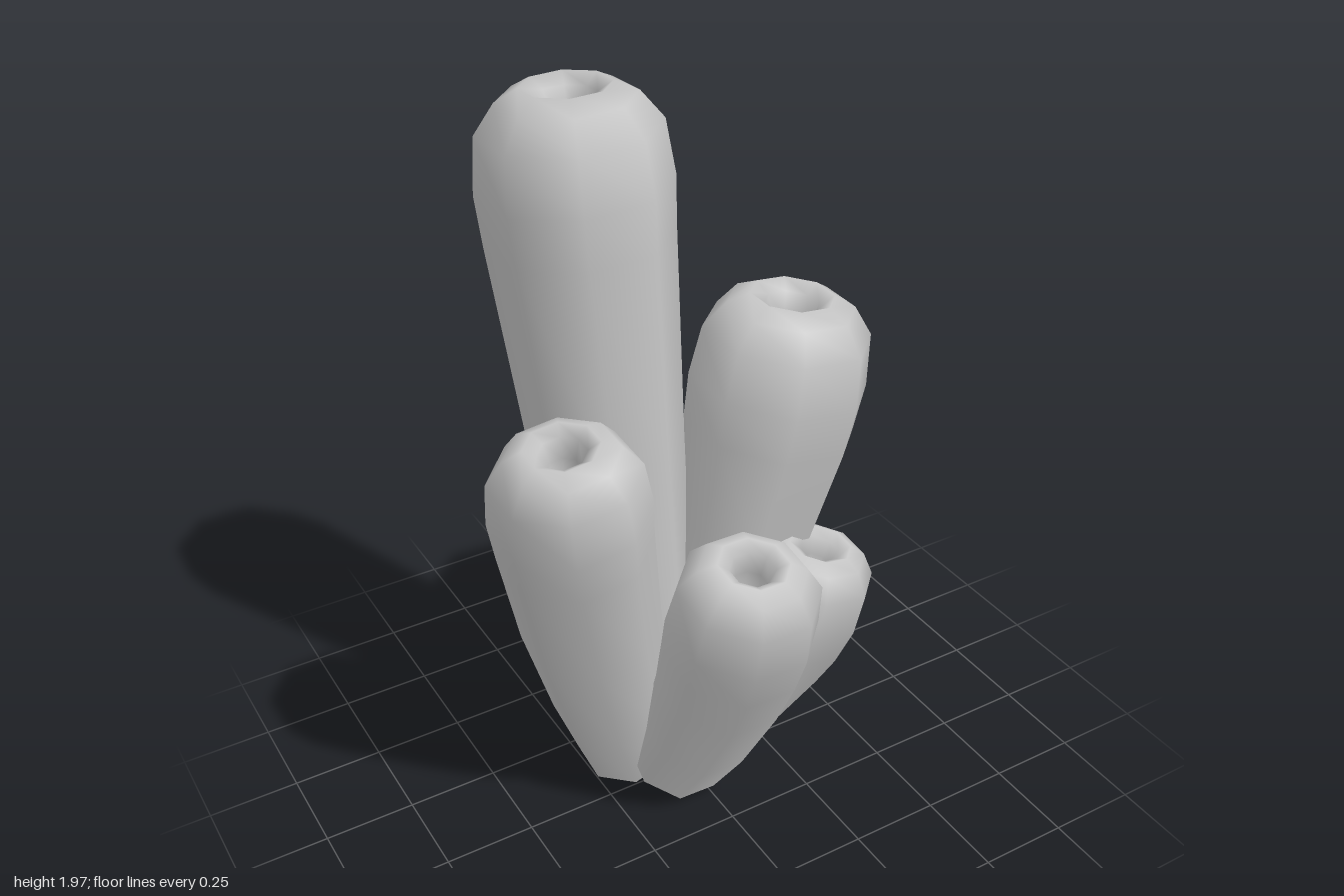
import * as THREE from 'three';

const SIDES = 8;
const BOW = 0.14;

// One hollow-tipped tube: a lathe along a bowed line from base to tip, open at the bottom
function makeTube(name, base, tip, baseRadius, radius, material) {
  const from = new THREE.Vector3(...base);
  const axis = new THREE.Vector3(...tip).sub(from);
  const length = axis.length();
  const R = radius / Math.cos(Math.PI / SIDES) * 0.98;
  const r = baseRadius;
  const profile = [
    [r, 0],
    [r + (R - r) * 0.28, length * 0.22],
    [r + (R - r) * 0.66, length * 0.5],
    [R * 0.97, length - R * 1.55],
    [R, length - R * 1.0],
    [R * 0.93, length - R * 0.42],
    [R * 0.7, length - R * 0.12],
    [R * 0.46, length],
    [R * 0.3, length - R * 0.1],
    [R * 0.22, length - R * 0.35],
    [R * 0.2, length - R * 0.75],
    [0, length - R * 0.8],
  ].map(([x, y]) => new THREE.Vector2(x, y));
  const geometry = new THREE.LatheGeometry(profile, SIDES, Math.PI / SIDES);

  // Bow the tube outwards along its lean, turning each ring with the curve
  const pos = geometry.attributes.position;
  const leanX = axis.x / axis.y, leanZ = axis.z / axis.y;
  for (let i = 0; i < pos.count; i++) {
    const x = pos.getX(i), y = pos.getY(i), z = pos.getZ(i);
    const t = y / length;
    const shift = BOW * length * 4 * t * (1 - t);
    const slope = BOW * 4 * (1 - 2 * t);
    pos.setXYZ(i, x + leanX * shift, y - slope * (x * leanX + z * leanZ), z + leanZ * shift);
  }

  const mesh = new THREE.Mesh(geometry, material);
  mesh.name = name;
  mesh.position.copy(from);
  mesh.quaternion.setFromUnitVectors(new THREE.Vector3(0, 1, 0), axis.normalize());
  return mesh;
}

export function createModel() {
  const group = new THREE.Group();
  group.name = 'tubeSponge';
  const grey = new THREE.MeshStandardMaterial({ color: 0xc4c4c4, side: THREE.DoubleSide });
  grey.name = 'spongeGrey';

  // name, base centre, tip centre, base radius, widest radius
  const tubes = [
    ['tallBackTube', [-0.035, 0.08, -0.09], [-0.15, 1.99, -0.3], 0.125, 0.232],
    ['rightTube', [-0.12, 0.09, -0.13], [-0.4, 1.29, 0.1], 0.148, 0.192],
    ['leftTube', [0.03, 0.11, -0.13], [0.365, 1.41, -0.08], 0.125, 0.228],
    ['frontTube', [-0.045, 0.12, 0.02], [-0.01, 0.955, 0.335], 0.145, 0.187],
    ['smallTube', [0.065, 0.13, -0.04], [0.33, 0.775, 0.145], 0.128, 0.168],
  ];
  for (const t of tubes) group.add(makeTube(...t, grey));
  return group;
}
